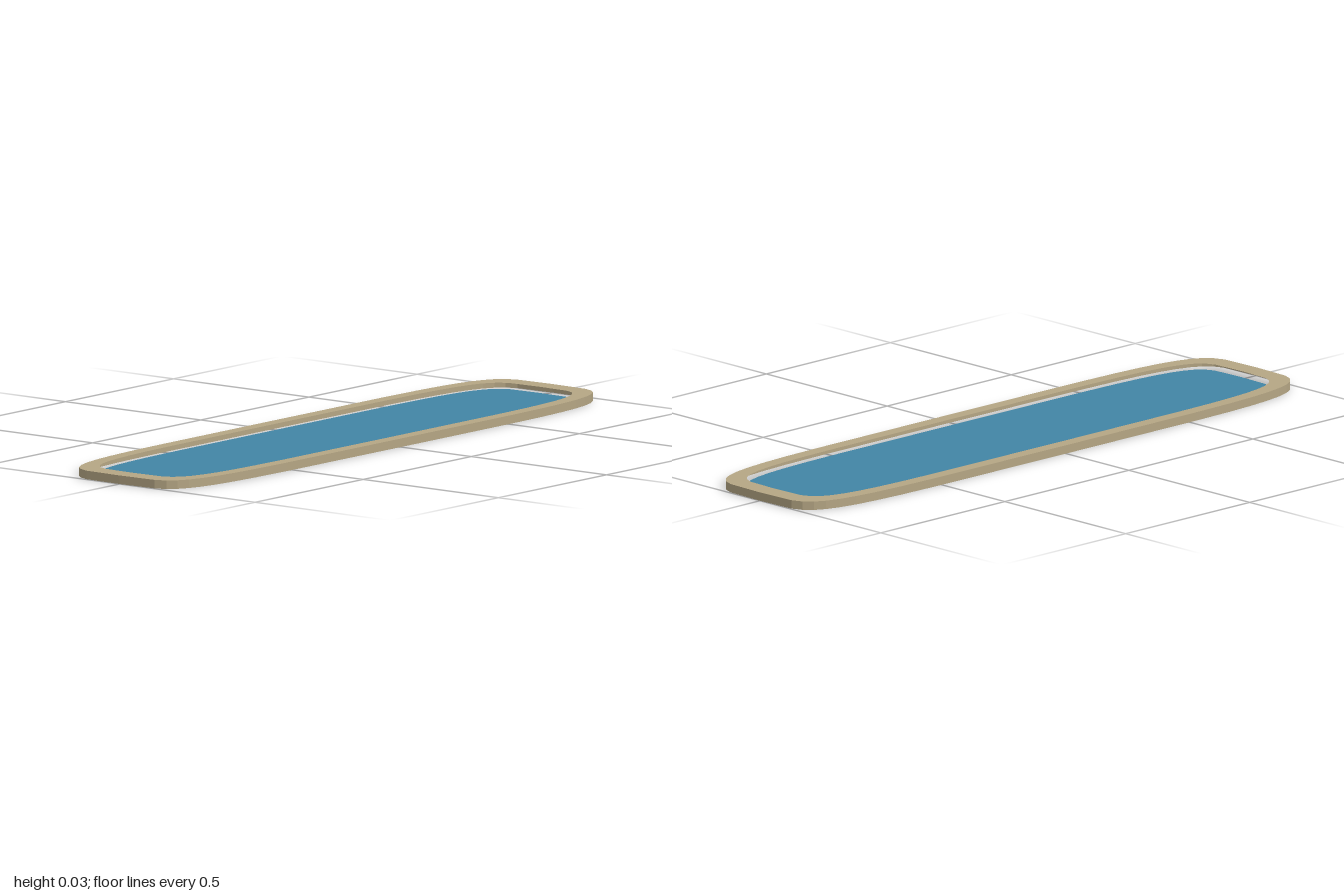
import * as THREE from 'three';

const SEGMENTS = 40;
const HEIGHT = 0.025;
const WATER_LEVEL = 0.007;

// Rounded-rectangle (superellipse) outline with half sizes a and b
function outline(a, b) {
  const power = (v) => Math.sign(v) * Math.pow(Math.abs(v), 0.35);
  return Array.from({ length: SEGMENTS }, (_, i) => {
    const t = (i / SEGMENTS) * Math.PI * 2;
    return new THREE.Vector2(a * power(Math.cos(t)), b * power(Math.sin(t)));
  });
}

// Flat sheet lying at height y, facing up
function sheet(shape, y) {
  return new THREE.ShapeGeometry(shape).rotateX(-Math.PI / 2).translate(0, y, 0);
}

// Vertical band following an outline from y = 0 to the given height
function band(points, height) {
  const positions = [];
  const indices = [];
  points.forEach((p, i) => {
    positions.push(p.x, 0, -p.y, p.x, height, -p.y);
    const a = 2 * i;
    const b = 2 * ((i + 1) % points.length);
    indices.push(a, b, b + 1, a, b + 1, a + 1);
  });
  const geometry = new THREE.BufferGeometry();
  geometry.setAttribute('position', new THREE.Float32BufferAttribute(positions, 3));
  geometry.setIndex(indices);
  const flat = geometry.toNonIndexed();
  flat.computeVertexNormals();
  return flat;
}

export function createModel() {
  const stone = new THREE.MeshStandardMaterial({ color: 0xb5a684, side: THREE.DoubleSide, flatShading: true });
  stone.name = 'sandstone';
  const water = new THREE.MeshStandardMaterial({ color: 0x4285a5, side: THREE.DoubleSide, flatShading: true });
  water.name = 'waterBlue';

  const group = new THREE.Group();
  group.name = 'pool';
  const add = (name, geometry, material) => {
    const mesh = new THREE.Mesh(geometry, material);
    mesh.name = name;
    group.add(mesh);
  };

  const outer = outline(1, 0.24);
  const inner = outline(0.94, 0.2);

  // Flat rim around the pool, open underneath
  const rim = new THREE.Shape(outer);
  rim.holes.push(new THREE.Path(inner));
  add('rimTop', sheet(rim, HEIGHT), stone);

  // Outer edge of the rim
  add('rimWall', band(outer, HEIGHT), stone);

  // Water sheet set below the rim
  add('waterSurface', sheet(new THREE.Shape(inner), WATER_LEVEL), water);

  return group;
}
